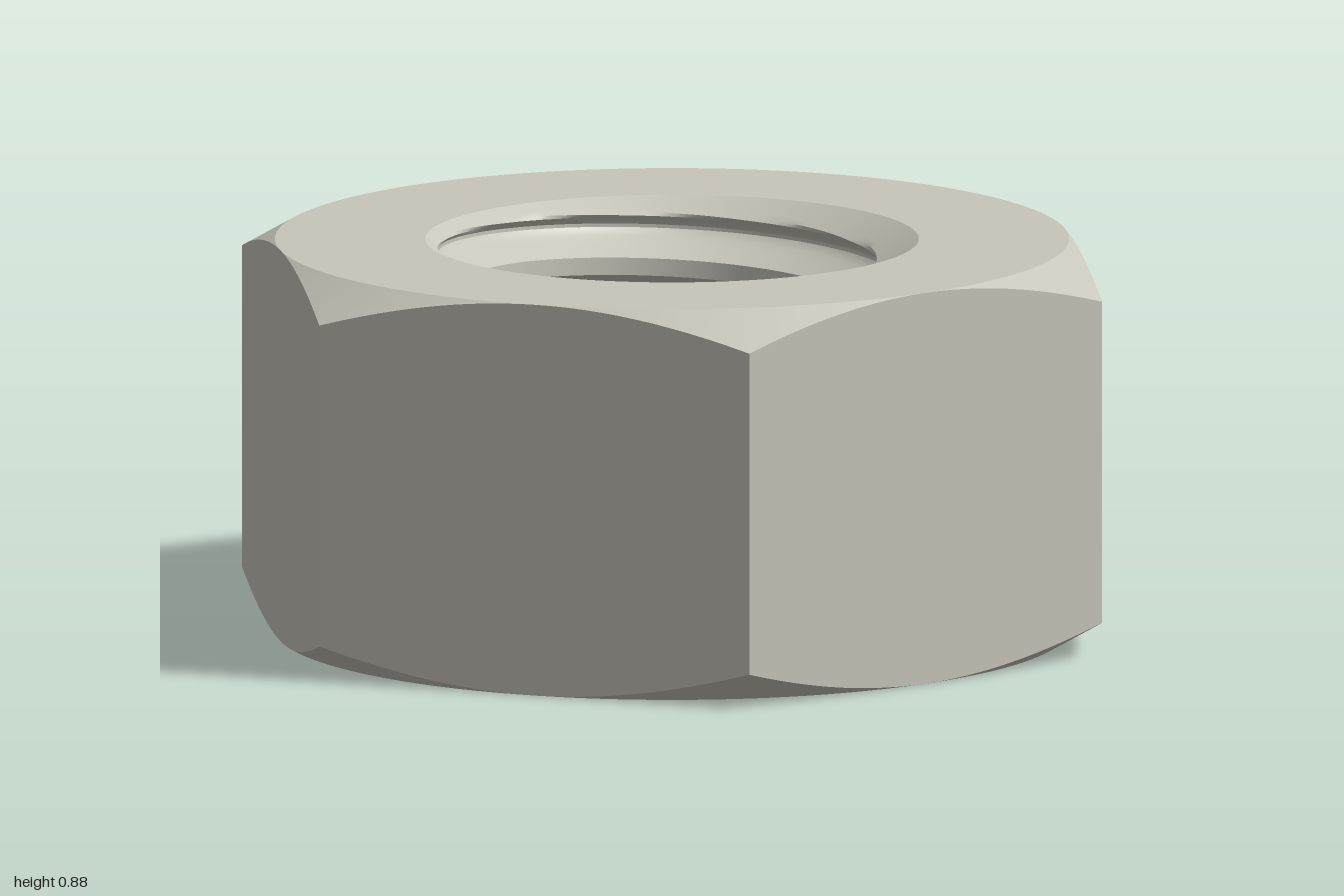
import * as THREE from 'three';
import { toCreasedNormals } from 'three/addons/utils/BufferGeometryUtils.js';

const H = 0.885;            // height
const FLAT = 0.885;         // centre to flat
const RIM = 0.55;           // countersink radius at the faces
const MINOR = 0.437;        // bore radius at the thread crests
const DEPTH = 0.085;        // thread depth
const PITCH = 0.157;
const SLOPE = Math.tan(Math.PI / 6);   // 30 degree chamfers
const SEGMENTS = 144;
const START = THREE.MathUtils.degToRad(18);   // turn of the hexagon corners
const STEPS = 20;           // rows per thread turn

// Skin a grid of rows around the axis; profile(row, angle) gives [radius, y]
function loft(rows, profile) {
  const grid = [];
  for (let i = 0; i < rows; i++) {
    grid.push([]);
    for (let j = 0; j <= SEGMENTS; j++) {
      const angle = START + (j / SEGMENTS) * Math.PI * 2;
      const [r, y] = profile(i, angle);
      grid[i].push(new THREE.Vector3(Math.sin(angle) * r, y, Math.cos(angle) * r));
    }
  }
  const positions = [];
  const triangle = new THREE.Triangle();
  const add = (a, b, c) => {
    if (triangle.set(a, b, c).getArea() < 1e-9) return;
    for (const p of [a, b, c]) positions.push(p.x, p.y, p.z);
  };
  for (let i = 0; i < rows - 1; i++) {
    for (let j = 0; j < SEGMENTS; j++) {
      const a = grid[i][j], b = grid[i][j + 1];
      const c = grid[i + 1][j + 1], d = grid[i + 1][j];
      add(a, b, c);
      add(a, c, d);
    }
  }
  const geometry = new THREE.BufferGeometry();
  geometry.setAttribute('position', new THREE.Float32BufferAttribute(positions, 3));
  return toCreasedNormals(geometry, 0.5);
}

// Hexagonal sides, cut by a cone at the top and bottom corners
function bodyProfile(row, angle) {
  const sector = Math.PI / 3;
  const turn = (((angle - START) % sector) + sector) % sector;
  const r = FLAT / Math.cos(turn - sector / 2);
  const drop = (r - FLAT) * SLOPE;
  return [[RIM, 0], [FLAT, 0], [r, drop], [r, H - drop], [FLAT, H], [RIM, H]][row];
}

// Thread section over one pitch: flat crest, then a groove with a rounded root
function threadRadius(t) {
  if (t <= 0.25) return MINOR;
  const u = Math.abs(t - 0.625) / 0.375;
  const c = 0.08;
  const s = (Math.sqrt(1 + c) - Math.sqrt(u * u + c)) / (Math.sqrt(1 + c) - Math.sqrt(c));
  return MINOR + DEPTH * s;
}

// Rows follow the helix downwards and stop at the end faces
const TURNS = 10;
function boreProfile(row, angle) {
  const step = TURNS * STEPS - row;
  const t = (step % STEPS) / STEPS;
  const helix = H - 0.064 + PITCH * (step / STEPS - 8 + angle / (Math.PI * 2));
  const y = THREE.MathUtils.clamp(helix, 0, H);
  const countersink = RIM - Math.min(y, H - y) / SLOPE;
  return [Math.max(threadRadius(t), countersink), y];
}

export function createModel() {
  const steel = new THREE.MeshStandardMaterial({ color: 0xc8c5ba });
  steel.name = 'steel';

  const group = new THREE.Group();
  group.name = 'hexNut';

  const body = new THREE.Mesh(loft(6, bodyProfile), steel);
  body.name = 'hexBody';

  const bore = new THREE.Mesh(loft(TURNS * STEPS + 1, boreProfile), steel);
  bore.name = 'threadedBore';

  group.add(body, bore);
  return group;
}
